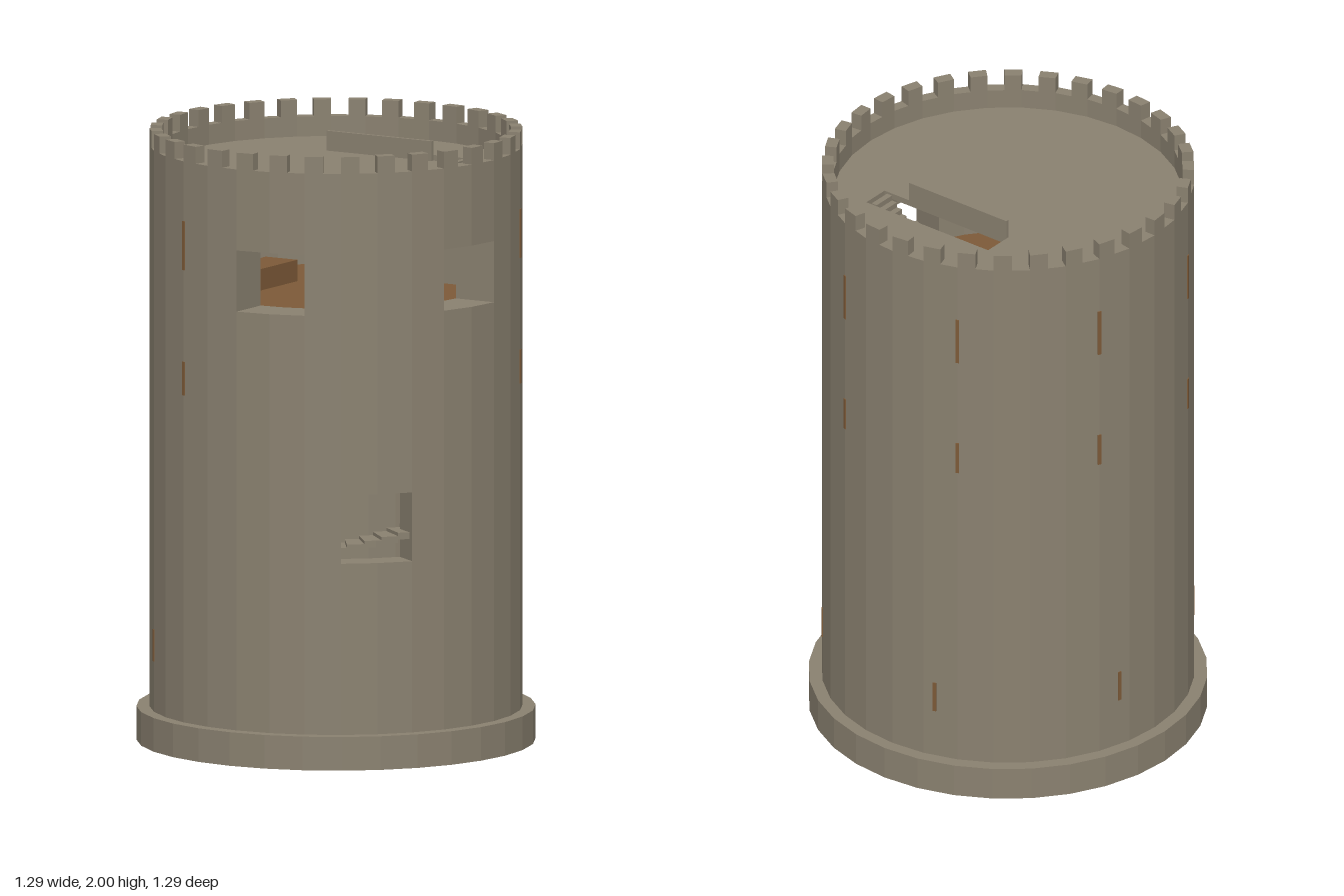
import * as THREE from 'three';
import { mergeGeometries } from 'three/addons/utils/BufferGeometryUtils.js';

const SIDE = 11.25;                       // degrees per facet, 32 sides
const RAD = Math.PI / 180;
const R_OUT = 0.603, R_SKIN = 0.58, R_CORE = 0.47, R_ROOM = 0.457;
const Y_ROOM = 1.48, Y_SILL = 0.67, Y_ROOF = 1.88, Y_PARAPET = 1.945;

// Point of a 32-sided ring at any angle (0 = front, 90 = left side)
function ringPoint(r, deg) {
  const m = ((deg % SIDE) + SIDE) % SIDE;
  const d = r * Math.cos(SIDE / 2 * RAD) / Math.cos((m - SIDE / 2) * RAD);
  return new THREE.Vector2(d * Math.sin(deg * RAD), -d * Math.cos(deg * RAD));
}

function arcPoints(r, a0, a1) {
  const pts = [ringPoint(r, a0)];
  for (let k = Math.floor(a0 / SIDE + 1e-6) + 1; k * SIDE < a1 - 1e-6; k++) pts.push(ringPoint(r, k * SIDE));
  if (a1 - a0 < 360) pts.push(ringPoint(r, a1));
  return pts;
}

// Extrude a plan shape upward from y0 to y1
function raise(shape, y0, y1) {
  const g = new THREE.ExtrudeGeometry(shape, { depth: y1 - y0, bevelEnabled: false });
  return g.rotateX(-Math.PI / 2).translate(0, y0, 0);
}

// Curved block between two radii, two heights and two angles
function arcBlock(r0, r1, y0, y1, a0 = 0, a1 = 360) {
  const outer = arcPoints(r1, a0, a1), inner = arcPoints(r0, a0, a1).reverse();
  if (a1 - a0 < 360) return raise(new THREE.Shape([...outer, ...inner]), y0, y1);
  const shape = new THREE.Shape(outer);
  shape.holes.push(new THREE.Path(inner));
  return raise(shape, y0, y1);
}

function disc(r, y0, y1) {
  return raise(new THREE.Shape(arcPoints(r, 0, 360)), y0, y1);
}

function box(x0, x1, y0, y1, z0, z1) {
  return new THREE.BoxGeometry(x1 - x0, y1 - y0, z1 - z0)
    .translate((x0 + x1) / 2, (y0 + y1) / 2, (z0 + z1) / 2);
}

export function createModel() {
  const stone = new THREE.MeshStandardMaterial({ color: 0x8a8170 });
  stone.name = 'stone';
  const wood = new THREE.MeshStandardMaterial({ color: 0x7d5a38 });
  wood.name = 'wood';

  const tower = new THREE.Group();
  tower.name = 'tower';
  const add = (name, material, ...geos) => {
    const mesh = new THREE.Mesh(geos.length > 1 ? mergeGeometries(geos) : geos[0], material);
    mesh.name = name;
    tower.add(mesh);
  };

  // Foot ring and ground floor
  add('footRing', stone, arcBlock(R_SKIN, 0.645, 0, 0.11));
  add('groundFloor', stone, disc(R_CORE, 0.004, 0.02));

  // Outer wall in bands, leaving the window gaps open
  add('outerWall', stone,
    arcBlock(R_SKIN, R_OUT, 0.11, Y_SILL),
    arcBlock(R_SKIN, R_OUT, Y_SILL, 0.895, 56.25, 393.75),
    arcBlock(R_SKIN, R_OUT, 0.895, Y_ROOM),
    arcBlock(R_SKIN, R_OUT, Y_ROOM, 1.68, 22.5, 67.5),
    arcBlock(R_SKIN, R_OUT, Y_ROOM, 1.68, 90, 360),
    arcBlock(R_SKIN, R_OUT, 1.68, Y_ROOF));

  // Inner wall around the rooms
  add('innerWall', stone,
    arcBlock(R_ROOM, R_CORE, 0.02, Y_ROOM),
    arcBlock(R_ROOM, R_CORE, Y_ROOM, 1.68, 22.5, 67.5),
    arcBlock(R_ROOM, R_CORE, Y_ROOM, 1.68, 90, 360),
    arcBlock(R_ROOM, R_CORE, 1.68, Y_ROOF - 0.02));

  // Window linings: sill, lintel and two jambs
  const windows = [
    [0, 22.5, Y_ROOM, 1.68, R_ROOM],
    [67.5, 90, Y_ROOM, 1.68, R_ROOM],
    [33.75, 56.25, Y_SILL, 0.895, 0.505],
  ];
  for (const [a0, a1, y0, y1, r] of windows) {
    add('windowLining', stone,
      arcBlock(r, R_SKIN, y0 - 0.015, y0, a0, a1),
      arcBlock(r, R_SKIN, y1, y1 + 0.015, a0, a1),
      arcBlock(r, R_SKIN, y0, y1, a0 - 1, a0),
      arcBlock(r, R_SKIN, y0, y1, a1, a1 + 1));
  }

  // Spiral stair between the two walls
  const steps = [];
  for (let i = 0; i < 134; i++) {
    const a = 30 + i * SIDE / 2, y = 0.005 + i * 0.0108;
    steps.push(arcBlock(R_CORE, R_SKIN, y, y + 0.022, a, a + SIDE / 2));
  }
  add('spiralStair', stone, ...steps);

  // Upper room: wooden floor and a low wooden chest
  add('roomFloor', wood, disc(R_ROOM, Y_ROOM - 0.02, Y_ROOM));
  add('chest', wood, box(-0.28, -0.16, Y_ROOM, 1.55, -0.02, 0.2));

  // Roof with a stair hatch (plan y is -z)
  const roof = new THREE.Shape(arcPoints(R_SKIN, 0, 360));
  roof.holes.push(new THREE.Path([[-0.17, 0.225], [-0.17, 0.32], [0.33, 0.32], [0.33, 0.225]]
    .map(([x, y]) => new THREE.Vector2(x, y))));
  add('roof', stone, raise(roof, Y_ROOF - 0.02, Y_ROOF));
  add('hatchGuard', stone, box(-0.17, 0.23, Y_ROOF, 1.945, -0.225, -0.212));

  // Straight stair from the room to the hatch
  const n = 22, run = 0.445 / n, rise = (Y_ROOF - Y_ROOM) / n;
  const treads = [];
  for (let i = 0; i < n; i++) {
    const x = -0.133 + i * run;
    treads.push(box(x, x + run, Y_ROOM, Y_ROOM + (i + 1) * rise, -0.315, -0.235));
  }
  add('hatchStair', stone, ...treads);

  // Parapet and battlements
  add('parapet', stone, arcBlock(0.565, R_OUT, Y_ROOF, Y_PARAPET));
  const merlons = [];
  for (let i = 0; i < 32; i++) {
    merlons.push(arcBlock(0.565, R_OUT, Y_PARAPET, 2, i * SIDE, (i + 0.5) * SIDE));
  }
  add('battlements', stone, ...merlons);

  // Narrow slits in three rows
  const slit = (deg, y0, y1) => {
    const r = ringPoint(R_OUT, deg).length();
    return new THREE.BoxGeometry(0.012, y1 - y0, 0.006)
      .translate(0, (y0 + y1) / 2, r).rotateY(deg * RAD);
  };
  const slits = [];
  for (let a = 112.5; a < 340; a += 45) slits.push(slit(a, 1.59, 1.75), slit(a, 1.18, 1.29));
  for (let a = 135; a < 320; a += 60) slits.push(slit(a, 0.275, 0.38));
  add('slits', wood, ...slits);

  return tower;
}
